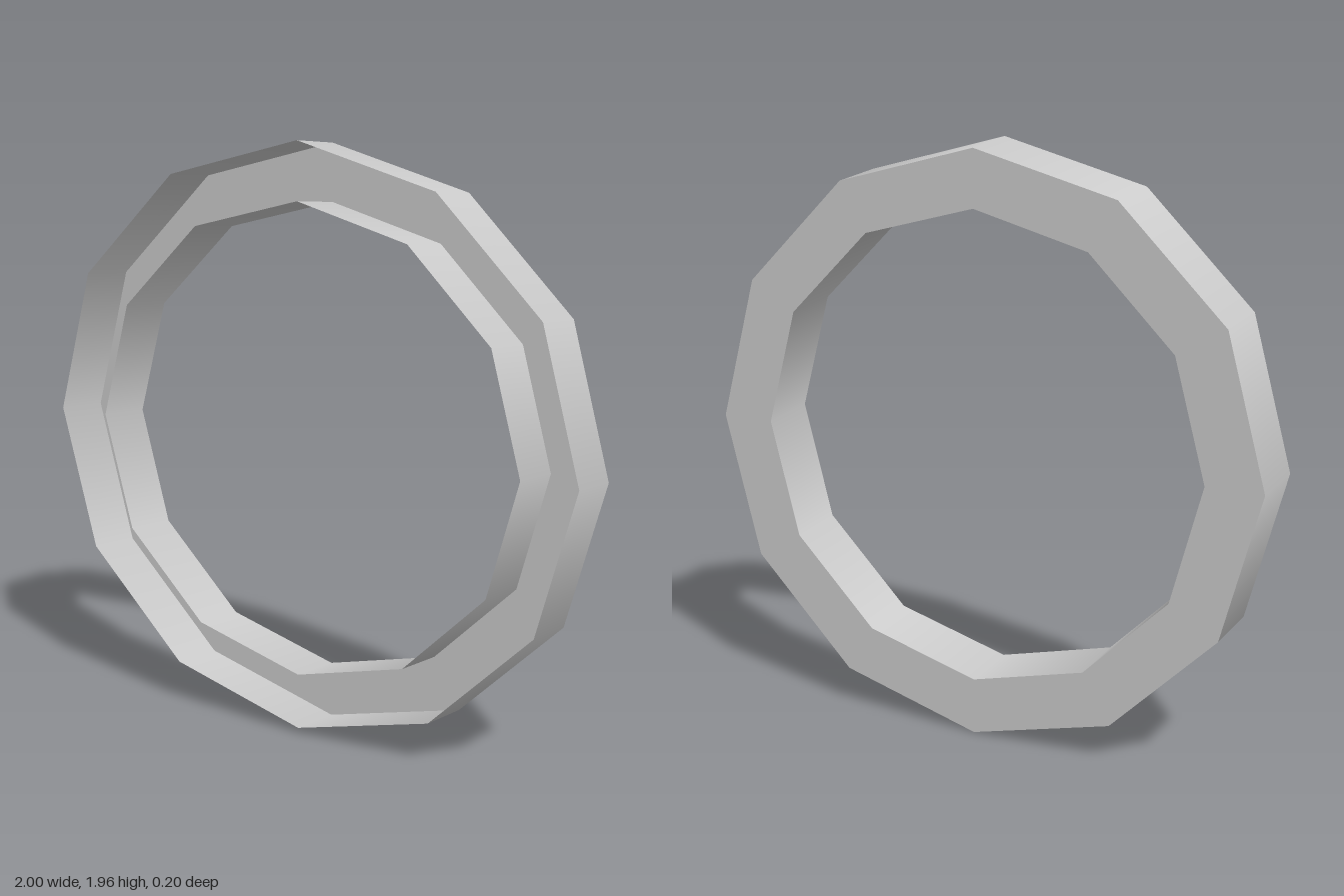
import * as THREE from 'three';

const SIDES = 12;
const OUTER = 1, INNER = 0.806, DEPTH = 0.2;

export function createModel() {
  const group = new THREE.Group();
  group.name = 'channelRing';
  const material = new THREE.MeshStandardMaterial({ color: 0xcccccc, side: THREE.DoubleSide });

  // slightly flattened ring whose front leans upward, standing on the ground
  const lean = new THREE.Matrix4().set(
    1, 0, 0, 0,
    0, 0.97, 0.1, 0.98,
    0, 0, 1, 0,
    0, 0, 0, 1
  );

  const add = (name, geometry) => {
    const mesh = new THREE.Mesh(geometry.applyMatrix4(lean), material);
    mesh.name = name;
    group.add(mesh);
  };

  // twelve-sided band, open at both ends, axis along z
  const wall = (radius) =>
    new THREE.CylinderGeometry(radius, radius, DEPTH, SIDES, 1, true).rotateX(Math.PI / 2);

  add('outerWall', wall(OUTER));
  add('innerWall', wall(INNER));

  // back plate closes the channel; the front stays open
  add('backPlate', new THREE.RingGeometry(INNER, OUTER, SIDES, 1)
    .rotateY(Math.PI).translate(0, 0, -DEPTH / 2));

  return group;
}
